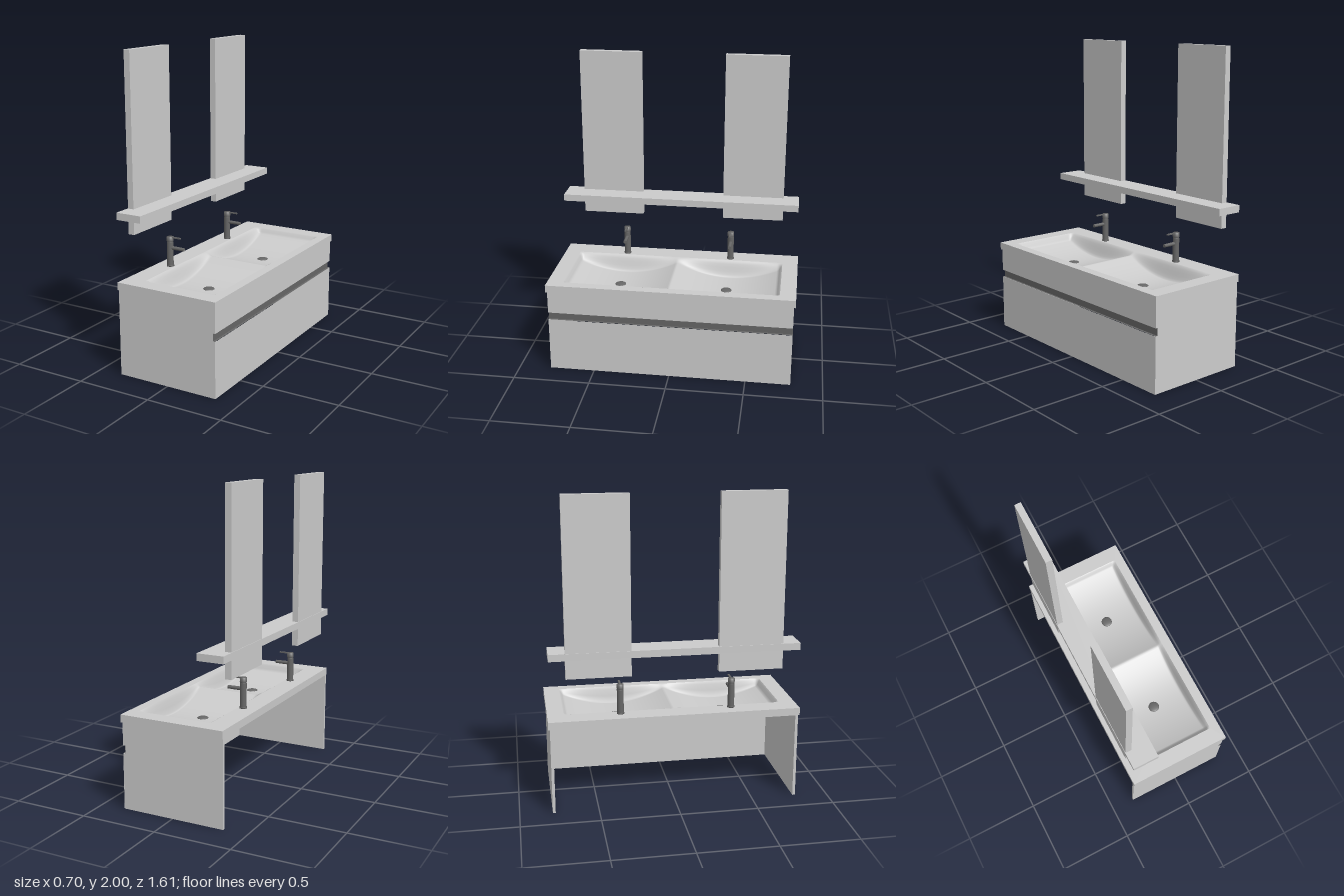
import * as THREE from 'three';

const grey = new THREE.MeshStandardMaterial({ color: 0xcccccc });
const sheet = new THREE.MeshStandardMaterial({ color: 0xcccccc, side: THREE.DoubleSide });
const dark = new THREE.MeshStandardMaterial({ color: 0x666666 });
const darkSheet = new THREE.MeshStandardMaterial({ color: 0x666666, side: THREE.DoubleSide });

function add(parent, name, geometry, material, x = 0, y = 0, z = 0) {
  const mesh = new THREE.Mesh(geometry, material);
  mesh.name = name;
  mesh.position.set(x, y, z);
  parent.add(mesh);
  return mesh;
}

// Box given by its limits on each axis
function block(parent, name, [x0, x1], [y0, y1], [z0, z1], material = grey) {
  return add(parent, name, new THREE.BoxGeometry(x1 - x0, y1 - y0, z1 - z0), material,
    (x0 + x1) / 2, (y0 + y1) / 2, (z0 + z1) / 2);
}

const polygon = (points) => new THREE.Shape(points.map(([x, y]) => new THREE.Vector2(x, y)));
const rectangle = (x0, x1, y0, y1) => polygon([[x0, y0], [x1, y0], [x1, y1], [x0, y1]]);

// Basin limits and drain centres
const BACK = -0.215, FRONT = 0.285, END = 0.7, RIM = 0.607, UNDER = 0.558;
const drains = [-0.342, 0.368];

// Two shallow troughs meeting in a low ridge, closed by steep walls
function basinHeight(x, z) {
  let depth = 0;
  for (const centre of drains) {
    const outward = (z - centre) * Math.sign(centre) > 0;
    const half = outward ? 0.4 : 0.39;
    depth = Math.max(depth, 0.107 * (1 - ((z - centre) / half) ** 2));
  }
  const back = THREE.MathUtils.smoothstep(x, BACK, BACK + 0.055);
  const front = 1 - THREE.MathUtils.smoothstep(x, FRONT - 0.03, FRONT);
  const end = 1 - THREE.MathUtils.smoothstep(Math.abs(z), END - 0.025, END);
  return RIM - depth * back * front * end;
}

function createBasin() {
  const basin = new THREE.Group();
  basin.name = 'doubleBasin';
  const outline = rectangle(-0.346, 0.348, -0.803, 0.803);
  outline.holes.push(rectangle(BACK, FRONT, -END, END));
  const rim = new THREE.ExtrudeGeometry(outline, { depth: RIM - UNDER, bevelEnabled: false });
  rim.rotateX(-Math.PI / 2);
  add(basin, 'basinRim', rim, grey, 0, UNDER, 0);

  const bowl = new THREE.PlaneGeometry(FRONT - BACK, 2 * END, 60, 160);
  bowl.rotateX(-Math.PI / 2);
  bowl.translate((FRONT + BACK) / 2, 0, 0);
  const p = bowl.attributes.position;
  for (let i = 0; i < p.count; i++) p.setY(i, basinHeight(p.getX(i), p.getZ(i)));
  bowl.computeVertexNormals();
  add(basin, 'basinBowls', bowl, sheet);

  // Domed drain caps
  const dome = new THREE.SphereGeometry(0.036, 32, 10, 0, Math.PI * 2, 0, Math.PI / 2);
  dome.scale(1, 0.25, 1);
  for (const z of drains) add(basin, 'drain', dome, darkSheet, 0.037, 0.501, z);
  return basin;
}

function createCabinet() {
  const cabinet = new THREE.Group();
  cabinet.name = 'cabinet';
  const face = 0.34, recess = 0.325, half = 0.793;

  // End panels with the finger groove cut into the front edge
  const side = polygon([[-0.345, 0], [face, 0], [face, 0.36], [recess, 0.36],
    [recess, 0.41], [face, 0.41], [face, UNDER], [-0.345, UNDER]]);
  const panel = new THREE.ExtrudeGeometry(side, { depth: 0.018, bevelEnabled: false });
  add(cabinet, 'endPanel', panel, grey, 0, 0, half - 0.018);
  add(cabinet, 'endPanel', panel, grey, 0, 0, -half);

  // Drawer fronts and groove are thin skins between the outer ends
  const strip = (name, x, y0, y1, material) => {
    const g = new THREE.PlaneGeometry(2 * half, y1 - y0);
    g.rotateY(Math.PI / 2);
    add(cabinet, name, g, material, x, (y0 + y1) / 2, 0);
  };
  strip('lowerDrawerFront', face + 0.001, 0, 0.36, sheet);
  strip('upperDrawerFront', face + 0.001, 0.41, UNDER, sheet);
  strip('grooveBack', recess + 0.001, 0.36, 0.41, darkSheet);
  for (const y of [0.361, 0.409]) {
    const g = new THREE.PlaneGeometry(face - recess, 2 * half);
    g.rotateX(-Math.PI / 2);
    add(cabinet, 'grooveLedge', g, darkSheet, (face + recess) / 2, y, 0);
  }
  return cabinet;
}

function createTap() {
  const tap = new THREE.Group();
  tap.name = 'tap';
  // Round body with a flared foot and a separate cap
  const profile = [[0, 0], [0.024, 0], [0.024, 0.006], [0.021, 0.012], [0.021, 0.158],
    [0.019, 0.16], [0.019, 0.164], [0.022, 0.166], [0.022, 0.194], [0, 0.194]];
  const body = new THREE.LatheGeometry(profile.map(([r, y]) => new THREE.Vector2(r, y)), 28);
  add(tap, 'tapBody', body, dark);
  // Round spout pointing forward
  const spout = new THREE.CylinderGeometry(0.011, 0.012, 0.105, 20);
  spout.rotateZ(-Math.PI / 2);
  add(tap, 'spout', spout, dark, 0.0525, 0.122, 0);
  block(tap, 'lever', [0, 0.08], [0.187, 0.195], [-0.006, 0.006], dark);
  return tap;
}

export function createModel() {
  const model = new THREE.Group();
  model.name = 'doubleVanity';
  model.add(createCabinet(), createBasin());

  for (const z of [-0.343, 0.371]) {
    const tap = createTap();
    tap.position.set(-0.249, RIM, z);
    model.add(tap);
  }

  // Wall shelf with two tall mirrors passing through it
  block(model, 'shelf', [-0.348, -0.174], [0.997, 1.042], [-0.79, 0.79]);
  for (const z of [[-0.687, -0.281], [0.268, 0.677]]) {
    block(model, 'mirror', [-0.345, -0.304], [0.88, 2], z);
  }
  return model;
}
